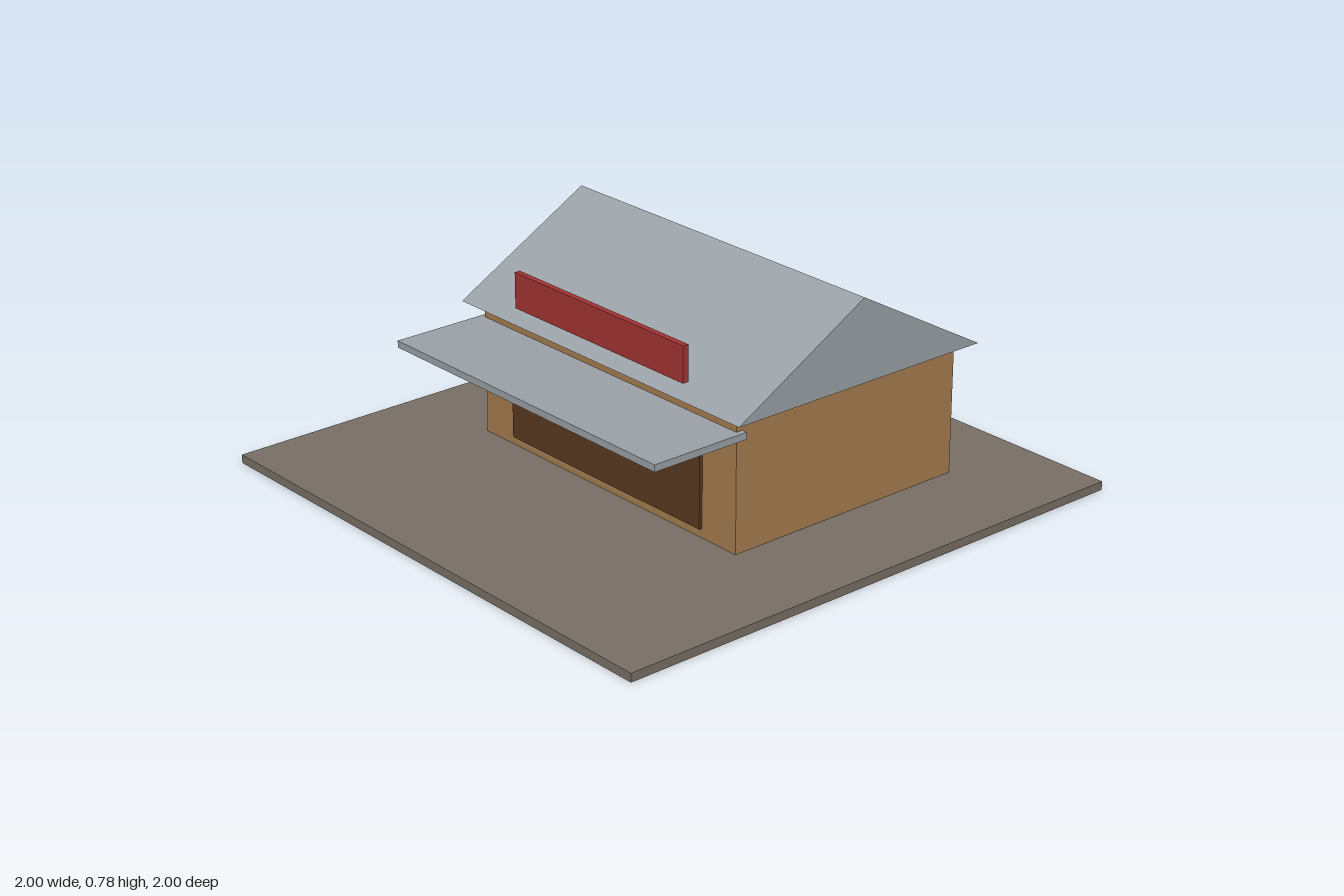
import * as THREE from 'three';

const paint = (name, color) => {
  const m = new THREE.MeshStandardMaterial({ color });
  m.name = name;
  return m;
};

export function createModel() {
  const group = new THREE.Group();
  group.name = 'shopBuilding';

  const ground = paint('groundBrown', 0x7a7167);
  const wood = paint('wallTan', 0xa87e50);
  const metal = paint('roofGrey', 0x9ca3a8);
  const dark = paint('doorBrown', 0x5a3b22);
  const red = paint('signRed', 0xa53434);

  // Box centred on x, given by its width and its y and z ranges
  const box = (name, material, width, y0, y1, z0, z1) => {
    const mesh = new THREE.Mesh(new THREE.BoxGeometry(width, y1 - y0, z1 - z0), material);
    mesh.position.set(0, (y0 + y1) / 2, (z0 + z1) / 2);
    mesh.name = name;
    group.add(mesh);
  };

  box('groundSlab', ground, 2, 0, 0.03, -1, 1);
  box('walls', wood, 1.25, 0.03, 0.494, -0.675, 0.263);
  box('frontOpening', dark, 0.938, 0.063, 0.353, 0.255, 0.275);
  box('awning', metal, 1.288, 0.419, 0.443, 0.238, 0.606);
  box('signBoard', red, 0.831, 0.545, 0.67, 0.275, 0.296);

  // Gable roof: solid triangular prism with its ridge along x
  const gable = new THREE.Shape([
    new THREE.Vector2(-0.515, 0),
    new THREE.Vector2(0.515, 0),
    new THREE.Vector2(0, 0.288),
  ]);
  const roofGeometry = new THREE.ExtrudeGeometry(gable, { depth: 1.374, bevelEnabled: false });
  roofGeometry.translate(0, 0, -0.687);
  roofGeometry.rotateY(Math.PI / 2);
  const roof = new THREE.Mesh(roofGeometry, metal);
  roof.position.set(0, 0.493, -0.206);
  roof.name = 'gableRoof';
  group.add(roof);

  return group;
}
